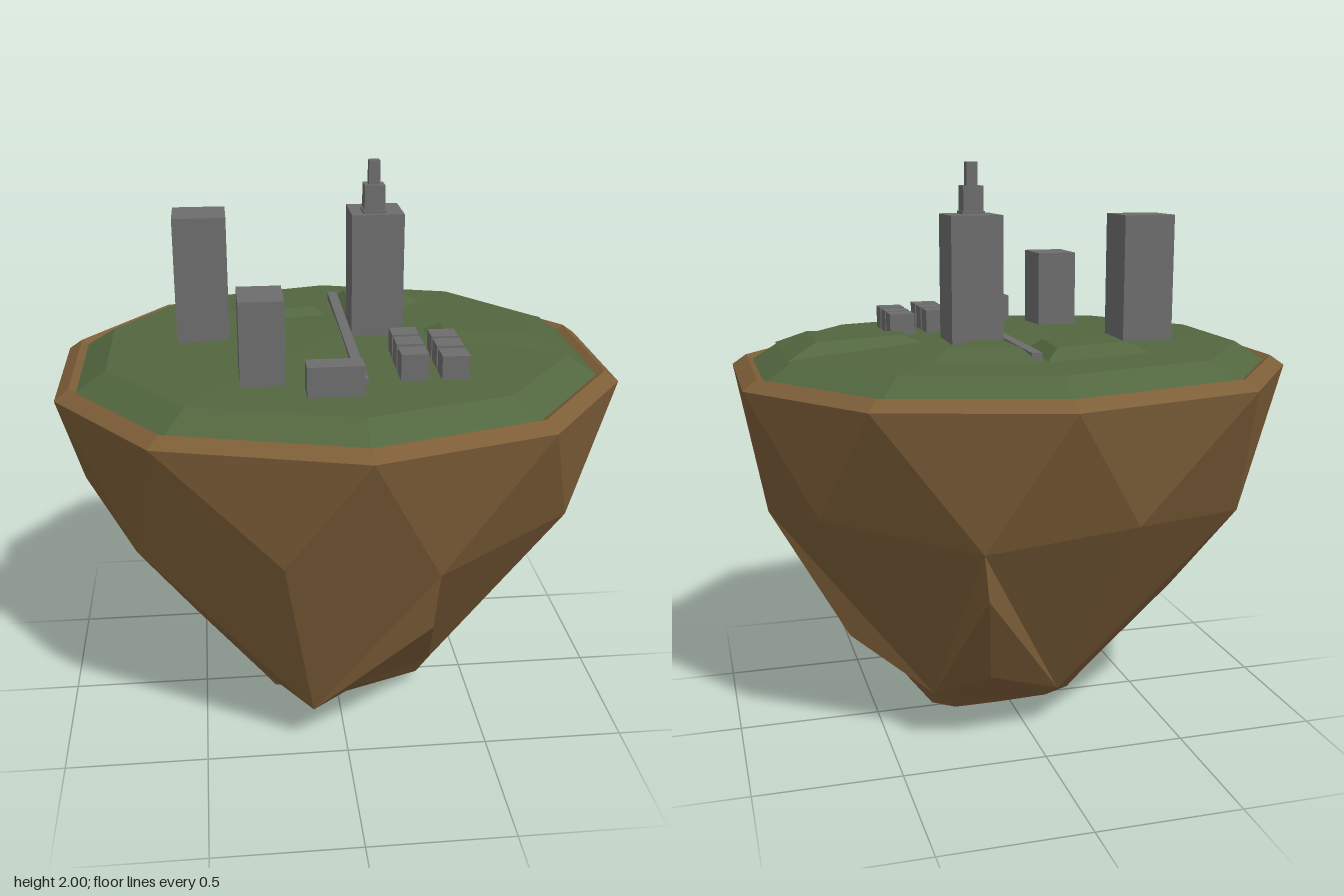
import * as THREE from 'three';

const mat = (color) => new THREE.MeshStandardMaterial({ color, flatShading: true, side: THREE.DoubleSide });
const rock = mat(0x7d5e38), grass = mat(0x52663f), concrete = mat(0x6c6c6c);

// Flat-shaded mesh from a list of triangles, each made of [x, y, z] corners
function facets(name, tris, material) {
  const g = new THREE.BufferGeometry();
  g.setAttribute('position', new THREE.Float32BufferAttribute(tris.flat(2), 3));
  g.computeVertexNormals();
  const m = new THREE.Mesh(g, material);
  m.name = name;
  return m;
}

// Triangles joining an upper ring to a lower ring, seen from outside
function band(top, low) {
  const n = top.length, out = [];
  for (let i = 0; i < n; i++) {
    const j = (i + 1) % n;
    out.push([top[i], top[j], low[i]], [top[j], low[j], low[i]]);
  }
  return out;
}
const fan = (ring, c) => ring.map((p, i) => [ring[(i + 1) % ring.length], p, c]);

// Ten-sided rim outline (x, z), running from the left side towards the front
const outline = [[0.95, -0.28], [0.95, 0.27], [0.62, 0.71], [0.03, 0.885], [-0.63, 0.71],
  [-0.95, 0.27], [-0.95, -0.28], [-0.63, -0.72], [0.03, -0.89], [0.62, -0.72]];
const rim = (s, y) => outline.map(([x, z]) => [x * s, y, z * s]);

// Tapering underside: faceted shoulders, gullies between five feet, lumpy bottom
function underside() {
  const R = rim(1, 1.29);
  const M = [[0.87, 0.82, -0.04], [0.74, 0.89, 0.46], [0.27, 0.82, 0.72], [-0.23, 0.88, 0.74], [-0.7, 0.82, 0.46],
    [-0.9, 0.89, 0], [-0.7, 0.82, -0.46], [-0.23, 0.88, -0.74], [0.27, 0.82, -0.71], [0.74, 0.89, -0.43]];
  const L = [[0.44, 0.21, -0.05], [0.34, 0.17, 0.19], [0.04, 0.21, 0.4], [-0.12, 0.17, 0.48], [-0.3, 0.18, 0.22],
    [-0.37, 0.16, -0.02], [-0.27, 0.17, -0.16], [-0.1, 0.16, -0.31], [0.18, 0.29, -0.44], [0.34, 0.17, -0.26]];
  const B = [[0.31, 0.05, -0.08], [0.31, 0.05, 0.1], [0.02, 0.08, 0.25], [-0.09, 0.01, 0.12], [-0.24, 0.06, 0.15],
    [-0.24, 0.06, 0], [-0.2, 0.07, -0.12], [-0.08, 0.1, -0.23], [0.1, 0.1, -0.24], [0.25, 0.08, -0.2]];
  const gully = { 0: [0.61, 0.36, -0.11], 2: [0.255, 0.62, 0.7], 4: [-0.52, 0.52, 0.34],
    6: [-0.52, 0.52, -0.32], 8: [0.25, 0.66, -0.69] };
  const bottom = [0.16, 0, -0.01];
  const t = [];
  for (let i = 0; i < 10; i++) {
    const a = (i + 9) % 10, b = (i + 1) % 10, N = gully[i];
    t.push([R[i], R[b], M[i]], [M[i], R[b], M[b]], [B[i], B[b], bottom]);
    if (N) t.push([M[i], N, L[a]], [M[i], L[b], N], [N, L[i], L[a]], [N, L[b], L[i]]);
    else t.push([M[i], M[b], L[i]], [M[a], M[i], L[i]]);
  }
  return facets('rockUnderside', t.concat(band(L, B)), rock);
}

// Low flat-topped mound over a base outline (x, z)
function mound(name, base, height) {
  const cx = base.reduce((s, p) => s + p[0], 0) / base.length;
  const cz = base.reduce((s, p) => s + p[1], 0) / base.length;
  const low = base.map(([x, z]) => [x, 1.37, z]);
  const top = base.map(([x, z]) => [cx + (x - cx) * 0.6, height, cz + (z - cz) * 0.6]);
  return facets(name, [...band(top, low), ...fan(top, [cx, height, cz])], grass);
}

// Box given by its centre (x, z), footprint and bottom and top heights
function block(name, x, z, w, d, y0, y1) {
  const m = new THREE.Mesh(new THREE.BoxGeometry(w, y1 - y0, d), concrete);
  m.position.set(x, (y0 + y1) / 2, z);
  m.name = name;
  return m;
}

export function createModel() {
  const group = new THREE.Group();
  group.name = 'floatingIsland';

  // Rock body and its rim
  const crest = rim(0.95, 1.325), edge = rim(0.925, 1.31);
  group.add(underside());
  group.add(facets('rockRim', [...band(crest, rim(1, 1.29)), ...band(edge, crest)], rock));

  // Grass plateau with a sloping border
  const plateau = rim(0.82, 1.375);
  group.add(facets('grassTop', [...band(plateau, edge), ...fan(plateau, [0, 1.403, 0])], grass));
  group.add(mound('sideMound', [[0.28, -0.08], [0.28, 0.07], [0.8, 0.22], [0.8, -0.23]], 1.418));
  group.add(mound('backMoundLeft', [[0.03, -0.55], [0.05, -0.23], [0.2, -0.21], [0.4, -0.45]], 1.424));
  group.add(mound('backMoundRight', [[-0.4, -0.45], [-0.17, -0.21], [0.02, -0.24], [0.03, -0.55]], 1.42));

  // Road strip across the plateau
  group.add(block('road', 0.043, -0.01, 0.035, 1, 1.385, 1.411));

  // Stepped tower with spire
  const tower = new THREE.Group();
  tower.name = 'steppedTower';
  tower.add(block('towerShaft', 0.15, -0.075, 0.18, 0.185, 1.37, 1.825),
    block('towerCap', 0.14, -0.04, 0.08, 0.08, 1.82, 1.835),
    block('towerStep', 0.14, -0.04, 0.07, 0.07, 1.82, 1.92),
    block('towerSpire', 0.14, -0.04, 0.038, 0.038, 1.91, 2));
  group.add(tower);

  // Plain blocks
  group.add(block('tallBlock', -0.457, -0.105, 0.182, 0.185, 1.37, 1.82),
    block('mediumBlock', -0.272, 0.36, 0.145, 0.182, 1.37, 1.66),
    block('lowBlock', -0.05, 0.522, 0.18, 0.08, 1.37, 1.48));

  // Six small houses in two rows
  for (const [x, top] of [[0.215, 1.472], [0.348, 1.462]])
    for (const z of [0.202, 0.302, 0.407])
      group.add(block('house', x, z, 0.09, 0.082, 1.37, top));

  return group;
}
